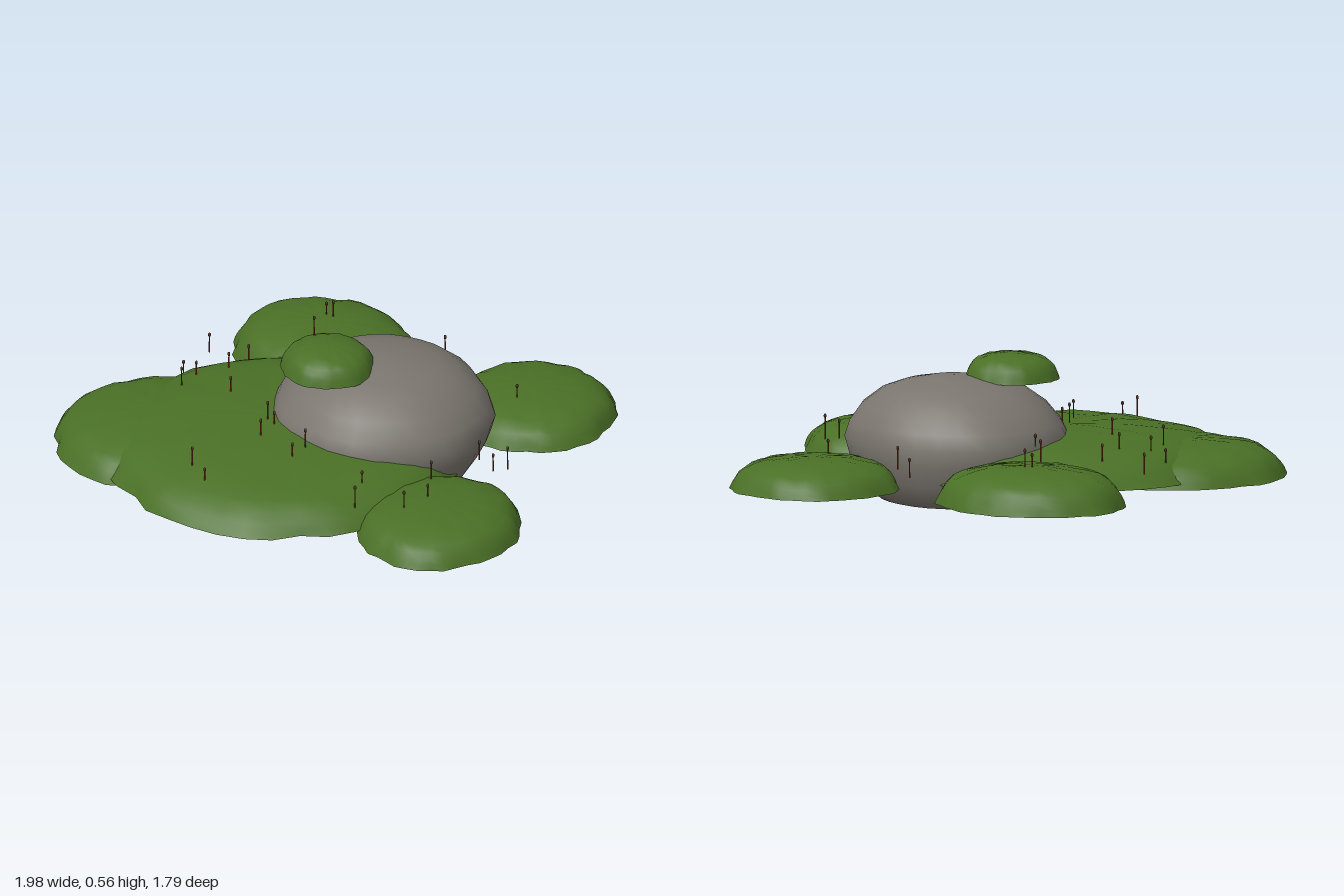
import * as THREE from 'three';
import { mergeVertices } from 'three/addons/utils/BufferGeometryUtils.js';

const material = (name, color, side = THREE.FrontSide) =>
  Object.assign(new THREE.MeshStandardMaterial({ color, side }), { name });

// Spins a profile of [radius, height] and roughens it by a rule
function roughLathe(profile, segments, rule) {
  const geo = new THREE.LatheGeometry(profile.map(([r, y]) => new THREE.Vector2(r, y)), segments);
  const pos = geo.attributes.position;
  const v = new THREE.Vector3();
  for (let i = 0; i < pos.count; i++) {
    v.fromBufferAttribute(pos, i);
    rule(v, Math.atan2(v.z, v.x), Math.hypot(v.x, v.z));
    pos.setXYZ(i, v.x, v.y, v.z);
  }
  geo.deleteAttribute('uv');
  geo.deleteAttribute('normal');
  const merged = mergeVertices(geo, 1e-4);
  merged.computeVertexNormals();
  return merged;
}

// Moss cushions: centre x, z, base height, radius x, radius z, height
const cushions = [
  ['broadMoss', -0.11, 0.21, 0.12, 0.69, 0.68, 0.155],
  ['leftMoss', -0.575, 0.32, 0.1, 0.41, 0.41, 0.135],
  ['frontMoss', 0.69, 0.39, 0.1, 0.3, 0.34, 0.12],
  ['backRightMoss', 0.525, -0.575, 0.1, 0.32, 0.32, 0.12],
  ['backLeftMoss', -0.38, -0.575, 0.1, 0.37, 0.31, 0.15],
  ['topMoss', 0.01, 0.075, 0.46, 0.18, 0.175, 0.1],
];

const domeProfile = [[1, 0], [0.975, 0.14], [0.945, 0.3], [0.9, 0.48], [0.83, 0.64],
  [0.72, 0.78], [0.57, 0.88], [0.4, 0.95], [0.2, 0.99], [0, 1]];

function mossCushion([name, x, z, y, rx, rz, h], seed, mat) {
  const group = new THREE.Group();
  group.name = name;
  const ragged = (v, a, r) => {
    const rim = r ** 4;
    const k = 1 + rim * (0.017 * Math.sin(5 * a + seed * 2.1) + 0.014 * Math.sin(11 * a + seed)
      + 0.013 * Math.sin(17 * a + seed * 3 + v.y * 5));
    if (v.y > 0.01) v.y += 0.05 * r * Math.sin(9 * a + 7 * r + seed) * Math.sin(4 * a - 9 * r);
    v.set(v.x * k * rx, v.y * h, v.z * k * rz);
  };
  const dome = new THREE.Mesh(roughLathe(domeProfile, 40, ragged), mat);
  dome.name = 'mossDome';
  const base = new THREE.Mesh(roughLathe([[0, 0], [1, 0]], 40, ragged), mat);
  base.name = 'mossUnderside';
  group.add(dome, base);
  group.position.set(x, y, z);
  return group;
}

// Sprout positions on the ground plan [x, z]
const sprouts = [
  [-0.4, -0.61], [-0.37, -0.61], [-0.36, -0.45], [0.08, -0.68], [0.2, -0.53], [0.52, -0.47],
  [-0.69, -0.23], [-0.5, -0.2], [-0.23, -0.22], [-0.51, -0.07], [-0.68, -0.02], [-0.6, 0.02],
  [-0.6, 0.13], [-0.39, 0.12], [-0.15, 0.25], [-0.11, 0.27], [0.62, -0.02], [0.75, -0.01],
  [0.71, 0.03], [0.55, 0.22], [0.63, 0.38], [0.59, 0.49], [0.41, 0.55], [0.37, 0.43],
  [0.08, 0.36], [0.07, 0.44], [-0.11, 0.37], [-0.24, 0.66], [-0.15, 0.72],
];

// Height of the moss surface under a sprout
function mossHeight(x, z) {
  let top = 0.2;
  for (const [, cx, cz, y, rx, rz, h] of cushions.slice(0, 5)) {
    const t = Math.hypot((x - cx) / rx, (z - cz) / rz);
    if (t < 1) top = Math.max(top, y + h * (1 - t ** 4));
  }
  return top;
}

export function createModel() {
  const model = new THREE.Group();
  model.name = 'mossyBoulder';
  const stone = material('stone grey', 0x7a756e);
  const moss = material('moss green', 0x4a7026);
  const stalkMat = material('stalk red brown', 0x8a3a1c);
  const capsuleMat = material('capsule brown', 0x4a2a18);

  // Boulder with a flat foot and a shallow crown
  const rockProfile = [[0, 0.003], [0.2, 0.006], [0.325, 0.018], [0.365, 0.05], [0.395, 0.11],
    [0.42, 0.18], [0.43, 0.25], [0.405, 0.31], [0.355, 0.375], [0.28, 0.43],
    [0.2, 0.458], [0.1, 0.477], [0, 0.483]];
  const rock = new THREE.Mesh(roughLathe(rockProfile, 28, (v, a, r) => {
    const k = 1 + r * (0.035 * Math.sin(3 * a + 8 * v.y) + 0.025 * Math.sin(7 * a - 6 * v.y));
    const lean = v.y * 0.08;
    v.set(v.x * k + lean, v.y, v.z * k * 0.95 - lean * 0.3);
  }), stone);
  rock.name = 'boulder';
  rock.position.set(0.14, 0, -0.065);
  model.add(rock);

  cushions.forEach((c, i) => model.add(mossCushion(c, i * 1.7 + 0.4, moss)));

  // Thin stalks tipped with spore capsules
  const stalkGeo = new THREE.CylinderGeometry(0.0025, 0.003, 1, 5).translate(0, 0.5, 0);
  const capsuleGeo = new THREE.SphereGeometry(0.006, 6, 5).scale(1, 1.5, 1);
  sprouts.forEach(([x, z], i) => {
    const length = 0.06 + 0.03 * ((i * 7) % 5) / 4;
    const sprout = new THREE.Group();
    sprout.name = 'sprout';
    const stalk = new THREE.Mesh(stalkGeo, stalkMat);
    stalk.name = 'stalk';
    stalk.scale.y = length;
    const capsule = new THREE.Mesh(capsuleGeo, capsuleMat);
    capsule.name = 'sporeCapsule';
    capsule.position.y = length;
    sprout.add(stalk, capsule);
    sprout.position.set(x, mossHeight(x, z) - 0.015, z);
    model.add(sprout);
  });
  return model;
}
